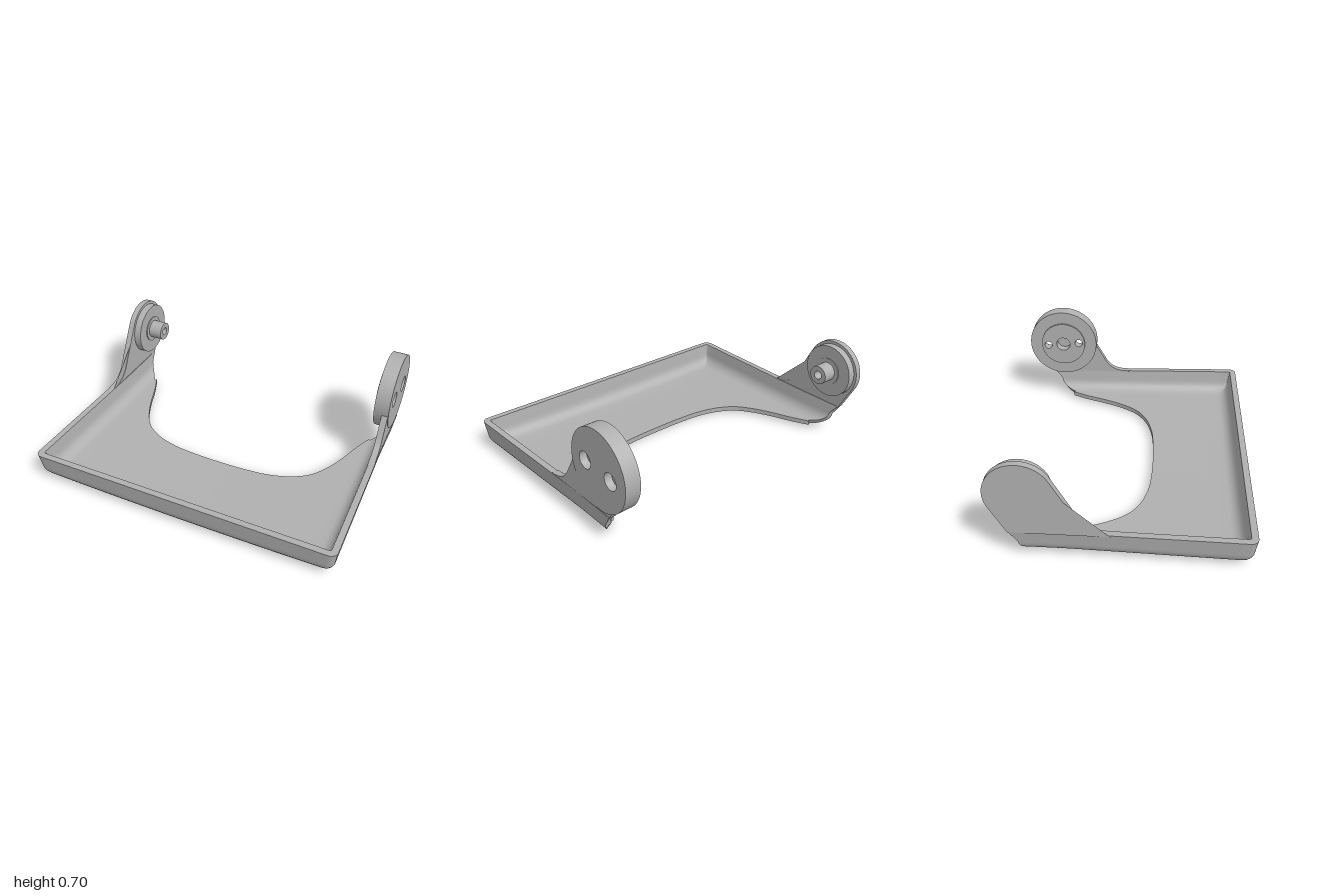
import * as THREE from 'three';
import { toCreasedNormals } from 'three/addons/utils/BufferGeometryUtils.js';

const FRONT = 0.772;
const DISC = [0.53, 0.452]; // hinge axis as (-z, y)

// Half width of the tray: narrows toward the back, then runs straight
const halfWidth = (z) => 0.966 + 0.034 * Math.max(0, z + 0.3) / 1.07;
// Slightly crowned underside
const floorY = (x, z) => 0.018 * x * x + 0.014 * (FRONT - z) / 1.2;

// Rear edge of the floor
const half = [[0.832, -0.46], [0.78, -0.34], [0.73, -0.2], [0.67, -0.07], [0.6, 0.03], [0.5, 0.1], [0.35, 0.148], [0.18, 0.166]];
const cut = new THREE.CatmullRomCurve3([
  ...half.map(([x, z]) => new THREE.Vector3(x, 0, z)),
  new THREE.Vector3(0, 0, 0.17),
  ...half.slice().reverse().map(([x, z]) => new THREE.Vector3(-x, 0, z)),
]);

// Plan outline at one inset: left side, corner, front, corner, right side
function outline(inset, r, back) {
  const pts = [], nSide = 18, nArc = 6, nFront = 24;
  const cz = FRONT - inset - r, cx = halfWidth(cz) - inset - r;
  for (let i = 0; i < nSide; i++) {
    const t = i / nSide, z = back + (cz - back) * t;
    pts.push({ x: halfWidth(z) - inset, z, u: 0.28 * t });
  }
  for (let i = 0; i <= nArc; i++) {
    const a = (i / nArc) * Math.PI / 2;
    pts.push({ x: cx + r * Math.cos(a), z: cz + r * Math.sin(a), u: 0.28 + 0.01 * i / nArc });
  }
  const left = pts.slice();
  for (let i = 1; i < nFront; i++) {
    const t = i / nFront;
    pts.push({ x: cx * (1 - 2 * t), z: FRONT - inset, u: 0.29 + 0.42 * t });
  }
  left.reverse().forEach((p) => pts.push({ x: -p.x, z: p.z, u: 1 - p.u }));
  return pts;
}

// Rows of one skin, from the rim down the wall, round the fillet and over the floor
function skin(rimInset, r, lift, bendInset, bend) {
  const rows = [];
  const addRow = (inset, y, back) => {
    const k = 1 - y / 0.2;
    rows.push(outline(inset, r, back).map((p) =>
      ({ ...p, y: y + Math.max(0, k) * floorY(p.x, p.z) })));
  };
  addRow(rimInset, 0.2, -0.615);
  for (let i = 0; i <= 7; i++) {
    const a = (i / 7) * Math.PI / 2;
    addRow(bendInset + bend * (1 - Math.cos(a)), lift + (0.1 - lift * 0.3) * (1 - Math.sin(a)), -0.45 - 0.11 * Math.cos(a));
  }
  const last = rows[rows.length - 1];
  for (let i = 1; i <= 4; i++) {
    rows.push(last.map((p) => {
      const c = cut.getPointAt(p.u), t = i / 4;
      const x = p.x + (c.x - p.x) * t, z = p.z + (c.z - p.z) * t;
      return { x, z, y: lift + (1 - lift / 0.2) * floorY(x, z) };
    }));
  }
  return rows;
}

function trayGeometry() {
  const outer = skin(0, 0.045, 0, 0.012, 0.098);
  const inner = skin(0.04, 0.012, 0.035, 0.05, 0.075);
  const rows = [...outer, ...inner.slice().reverse()];
  const n = rows.length, m = rows[0].length;
  const pos = rows.flatMap((row) => row.flatMap((p) => [p.x, p.y, p.z]));
  const index = [];
  for (let k = 0; k < n; k++) {
    const k2 = (k + 1) % n;
    for (let s = 0; s < m - 1; s++) {
      const a = k * m + s, b = a + 1, d = k2 * m + s, c = d + 1;
      index.push(a, b, c, a, c, d);
    }
  }
  // Rear ends of the side walls
  for (let k = 0; k < outer.length - 1; k++) {
    for (const s of [0, m - 1]) {
      const o = k * m + s, o2 = o + m, i = (n - 1 - k) * m + s, i2 = i - m;
      if (s === 0) index.push(o, o2, i2, o, i2, i);
      else index.push(o, i2, o2, o, i, i2);
    }
  }
  const g = new THREE.BufferGeometry();
  g.setAttribute('position', new THREE.Float32BufferAttribute(pos, 3));
  g.setIndex(index);
  return toCreasedNormals(g.toNonIndexed(), 0.6);
}

// Plate standing in the side plane: shape coordinates are (-z, y)
function plate(shape, x0, x1) {
  const g = new THREE.ExtrudeGeometry(shape, { depth: x1 - x0, bevelEnabled: false, curveSegments: 48 });
  g.rotateY(Math.PI / 2).translate(x0, 0, 0);
  return toCreasedNormals(g, 0.6);
}

function circle(r, holes = [], center = DISC) {
  const s = new THREE.Shape().absarc(center[0], center[1], r, 0, Math.PI * 2);
  holes.forEach(([u, v, hr]) => s.holes.push(new THREE.Path().absarc(u, v, hr, 0, Math.PI * 2)));
  return s;
}

// Arm sweeping up from the side wall
function armShape(round) {
  const s = new THREE.Shape();
  s.moveTo(0.612, 0.192);
  s.lineTo(0.04, 0.192);
  s.lineTo(0.06, 0.203);
  s.bezierCurveTo(0.14, 0.203, 0.19, 0.235, 0.22, 0.29);
  if (round) {
    s.lineTo(0.364, 0.549);
    s.absarc(0.535, 0.455, 0.195, Math.PI - 0.503, -0.503, true);
    const hex = new THREE.Path();
    for (let i = 0; i < 6; i++) {
      const a = i * Math.PI / 3, u = 0.535 + 0.042 * Math.cos(a), v = 0.455 + 0.042 * Math.sin(a);
      if (i) hex.lineTo(u, v); else hex.moveTo(u, v);
    }
    hex.closePath();
    s.holes.push(hex);
  } else {
    s.lineTo(0.287, 0.41);
    s.lineTo(0.36, 0.37);
    s.lineTo(0.6, 0.34);
    s.lineTo(0.632, 0.228);
  }
  s.closePath();
  return s;
}

function armGeometry(side) {
  const g = side > 0 ? plate(armShape(false), 0.922, 0.962) : plate(armShape(true), -0.968, -0.928);
  // Follow the taper of the tray walls
  const p = g.attributes.position;
  for (let i = 0; i < p.count; i++) p.setX(i, p.getX(i) + side * (halfWidth(p.getZ(i)) - 0.966));
  return g;
}

export function createModel() {
  const model = new THREE.Group();
  model.name = 'hingedTray';
  const grey = new THREE.MeshStandardMaterial({ color: 0xb0b0b0 });
  grey.name = 'grey';
  const add = (name, geometry) => {
    const mesh = new THREE.Mesh(geometry, grey);
    mesh.name = name;
    model.add(mesh);
  };

  add('tray', trayGeometry());
  add('leftArm', armGeometry(1));
  add('rightArm', armGeometry(-1));

  // Left hinge disc with two counterbored screw holes and a centre socket
  const screws = (r) => [[0.415, 0.462, r], [0.642, 0.442, r]];
  const socket = [...DISC, 0.05];
  add('leftDiscOuter', plate(circle(0.245, screws(0.052)), 0.92, 0.966));
  add('leftDiscInner', plate(circle(0.245, [...screws(0.028), socket]), 0.87, 0.92));
  add('leftDiscPad', plate(circle(0.16, [...screws(0.028), socket]), 0.855, 0.87));

  // Right hinge flange, boss and hollow pin
  const axis = [0.535, 0.455], bore = [[...axis, 0.028]];
  add('rightFlange', plate(circle(0.175, bore, axis), -0.929, -0.88));
  add('rightBoss', plate(circle(0.09, bore, axis), -0.88, -0.873));
  add('rightPin', plate(circle(0.062, bore, axis), -0.873, -0.78));
  return model;
}
